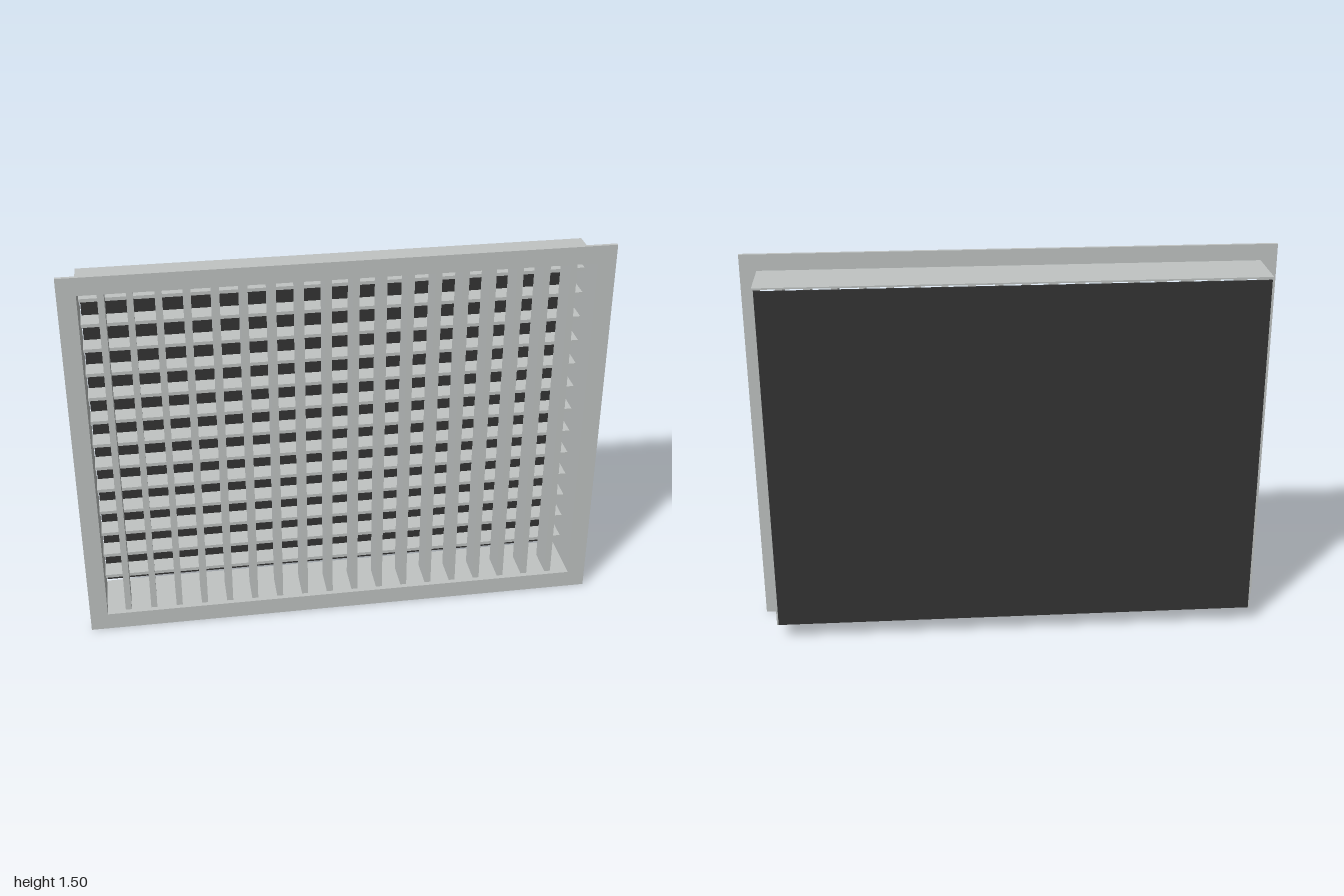
import * as THREE from 'three';

export function createModel() {
  const model = new THREE.Group();
  model.name = 'ventGrille';

  const metal = new THREE.MeshStandardMaterial({ color: 0xc0c4c3 });
  metal.name = 'light grey metal';
  const dark = new THREE.MeshStandardMaterial({ color: 0x343434 });
  dark.name = 'dark backing';

  const midY = 0.75;
  const inner = { w: 1.864, h: 1.364 };   // clear opening
  const bladeSplit = -0.02;               // depth where the two blade rows meet

  const add = (parent, name, geometry, material, x, y, z) => {
    const mesh = new THREE.Mesh(geometry, material);
    mesh.name = name;
    mesh.position.set(x, y, z);
    parent.add(mesh);
  };

  const rectPoints = (w, h) => [
    new THREE.Vector2(-w / 2, -h / 2), new THREE.Vector2(w / 2, -h / 2),
    new THREE.Vector2(w / 2, h / 2), new THREE.Vector2(-w / 2, h / 2),
  ];

  // Rectangular ring extruded from z0 to z1
  const ring = (name, w, h, z0, z1) => {
    const shape = new THREE.Shape(rectPoints(w, h));
    shape.holes.push(new THREE.Path(rectPoints(inner.w, inner.h).reverse()));
    const geometry = new THREE.ExtrudeGeometry(shape, { depth: z1 - z0, bevelEnabled: false });
    add(model, name, geometry, metal, 0, midY, z0);
  };

  // Front flange and the duct collar behind it
  ring('frontFlange', 2, 1.5, 0.107, 0.12);
  ring('ductCollar', 1.876, 1.376, -0.107, 0.107);

  // Upright blades in the front row
  const uprights = new THREE.Group();
  uprights.name = 'verticalBlades';
  const frontZ = 0.1;
  const uprightGeo = new THREE.BoxGeometry(0.024, inner.h, frontZ - bladeSplit);
  for (let i = 0; i < 18; i++) {
    add(uprights, 'verticalBlade', uprightGeo, metal, -0.85 + i * 0.1, midY, (frontZ + bladeSplit) / 2);
  }
  model.add(uprights);

  // Level blades in the rear row
  const levels = new THREE.Group();
  levels.name = 'horizontalBlades';
  const backZ = -0.1;
  const levelGeo = new THREE.BoxGeometry(inner.w, 0.013, bladeSplit - backZ);
  for (let i = 0; i < 13; i++) {
    add(levels, 'horizontalBlade', levelGeo, metal, 0, 0.15 + i * 0.1, (bladeSplit + backZ) / 2);
  }
  model.add(levels);

  // Thin backing panel, set just off the collar
  add(model, 'backPanel', new THREE.BoxGeometry(1.86, 1.36, 0.006), dark, 0, midY, -0.117);

  return model;
}
